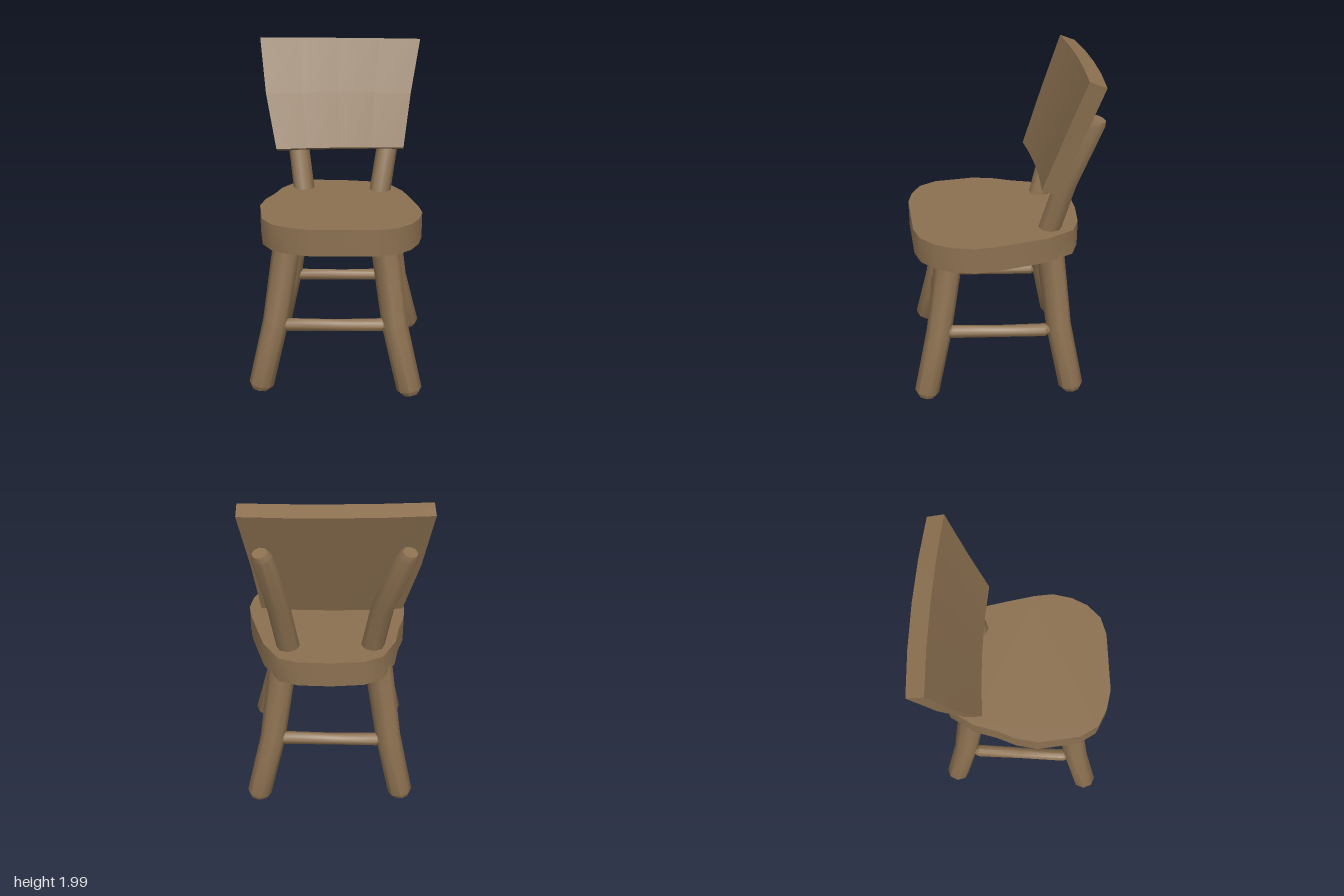
import * as THREE from 'three';
import { toCreasedNormals } from 'three/addons/utils/BufferGeometryUtils.js';

const wood = new THREE.MeshStandardMaterial({ color: 0x8b7050 });

function part(name, geometry, crease = 0.85) {
  const mesh = new THREE.Mesh(toCreasedNormals(geometry, crease), wood);
  mesh.name = name;
  return mesh;
}

// Moves every vertex of a geometry by a rule
function reshape(geometry, rule) {
  const pos = geometry.attributes.position;
  const v = new THREE.Vector3();
  for (let i = 0; i < pos.count; i++) {
    v.fromBufferAttribute(pos, i);
    rule(v);
    pos.setXYZ(i, v.x, v.y, v.z);
  }
  return geometry;
}

// Bent round stick through rings [x, y, z, radius]
function stick(name, rings, sides = 8) {
  const n = rings.length - 1;
  const at = (i) => new THREE.Vector3(rings[i][0], rings[i][1], rings[i][2]);
  const turn = new THREE.Quaternion().setFromUnitVectors(
    new THREE.Vector3(0, 1, 0), at(n).sub(at(0)).normalize());
  const geometry = reshape(new THREE.CylinderGeometry(1, 1, 1, sides, n), (v) => {
    const i = Math.round((v.y + 0.5) * n);
    v.y = 0;
    v.multiplyScalar(rings[i][3]).applyQuaternion(turn).add(at(i));
  });
  return part(name, geometry);
}

// Thin rung with narrowed ends and a slight bow between two points
function rung(name, a, b, bow) {
  const rings = [[0, 0.024], [0.05, 0.04], [0.5, 0.037], [0.95, 0.04], [1, 0.024]].map(([t, r]) => {
    const p = new THREE.Vector3(...a).lerp(new THREE.Vector3(...b), t);
    return [p.x, p.y + bow * Math.sin(Math.PI * t), p.z, r];
  });
  return stick(name, rings);
}

// Piecewise linear lookup in [[key, value], ...]
function lookup(table, k) {
  for (let i = 1; i < table.length; i++) {
    const [k0, v0] = table[i - 1], [k1, v1] = table[i];
    if (k <= k1 || i === table.length - 1) return v0 + (v1 - v0) * (k - k0) / (k1 - k0);
  }
}

function seat() {
  const outline = [
    [-0.12, 0.56], [0.25, 0.525], [0.36, 0.485], [0.44, 0.4], [0.485, 0.3], [0.505, 0.18],
    [0.485, 0.06], [0.44, -0.1], [0.395, -0.25], [0.3, -0.41], [0.19, -0.455], [0, -0.47],
    [-0.19, -0.46], [-0.3, -0.41], [-0.385, -0.25], [-0.415, -0.11], [-0.455, 0.01],
    [-0.47, 0.14], [-0.42, 0.39], [-0.35, 0.49], [-0.24, 0.54],
  ].map(([x, z]) => new THREE.Vector2(x, -z));
  const geometry = new THREE.ExtrudeGeometry(new THREE.Shape(outline), { depth: 0.158, bevelEnabled: false });
  geometry.rotateX(-Math.PI / 2);
  // Slight tilt towards the back
  reshape(geometry, (v) => { v.y += 0.905 + 0.02 * v.z - 0.01 * v.x; });
  return part('seat', geometry, 0.7);
}

function backrest() {
  const leftEdge = [[0, -0.41], [0.5, -0.485], [1, -0.53]];
  const rightEdge = [[0, 0.39], [0.5, 0.428], [1, 0.48]];
  const geometry = reshape(new THREE.BoxGeometry(1, 1, 1, 4, 2, 1), (v) => {
    const u = v.x + 0.5, t = v.y + 0.5, back = 0.5 - v.z;
    const curve = 1 - 4 * v.x * v.x;
    v.x = THREE.MathUtils.lerp(lookup(leftEdge, t), lookup(rightEdge, t), u);
    v.y = 1.335 + 0.02 * u + t * (0.665 - 0.02 * u) - 0.035 * back;
    v.z = -0.185 - 0.02 * u * (1 - t) - 0.24 * t - 0.02 * curve - back * (0.095 + 0.005 * curve);
  });
  return part('backrest', geometry, 0.7);
}

export function createModel() {
  const group = new THREE.Group();
  group.add(seat(), backrest());

  for (const s of [1, -1]) {
    const side = s > 0 ? 'left' : 'right';

    // Splayed legs, bent at rung height
    for (const [end, f, foot, mid, top] of [
      ['Front', 1, 0.49, 0.395, 0.315],
      ['Back', -1, 0.415, 0.335, 0.275],
    ]) {
      const shift = s > 0 ? 0.012 : 0;
      group.add(stick(side + end + 'Leg', [
        [s * (0.447 + shift), 0.02, f * foot, 0.05],
        [s * (0.438 + shift), 0.05, f * (foot - 0.006), 0.075],
        [s * 0.355, 0.43, f * mid, 0.077],
        [s * 0.28, 0.95, f * top, 0.083],
      ]));
    }

    // Posts behind the backrest
    const tip = s > 0 ? 0.37 : -0.41;
    group.add(stick(side + 'BackPost', [
      [s * 0.24, 1.0, -0.265, 0.068],
      [s * 0.29, 1.35, -0.355, 0.066],
      [tip - s * 0.01, 1.73, -0.495, 0.057],
      [tip, 1.76, -0.508, 0.042],
    ]));

    // Side rungs
    group.add(rung(side + 'Rung', [s * 0.375, 0.43, 0.35], [s * 0.375, 0.41, -0.28], -0.004));
  }

  // Front and back rungs
  group.add(rung('frontRung', [-0.315, 0.41, 0.405], [0.315, 0.43, 0.405], -0.004));
  group.add(rung('backRung', [-0.315, 0.41, -0.345], [0.315, 0.43, -0.345], -0.004));
  return group;
}
